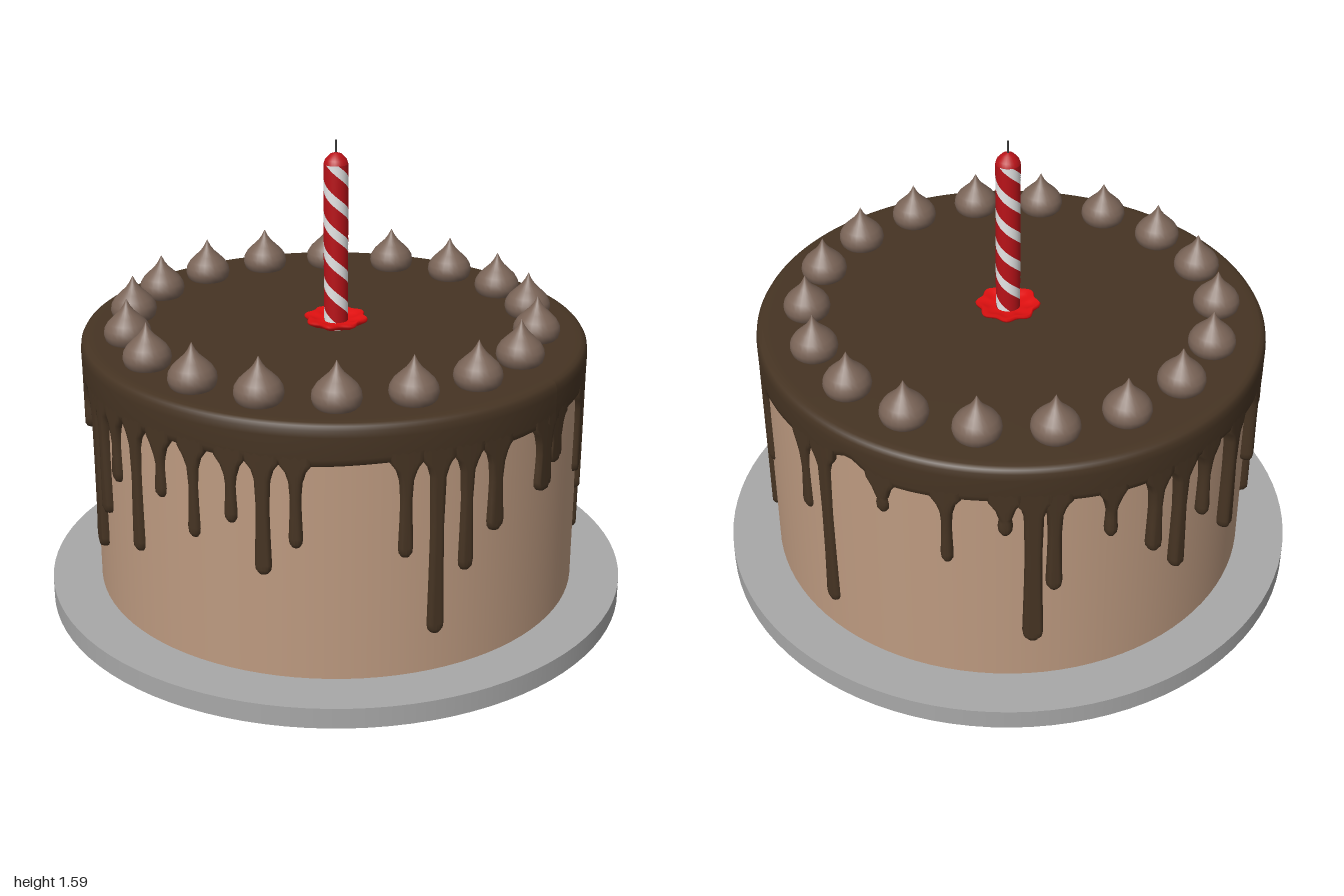
import * as THREE from 'three';

const mat = (name, color) => {
  const m = new THREE.MeshStandardMaterial({ color });
  m.name = name;
  return m;
};

const V = (list) => list.map(([x, y]) => new THREE.Vector2(x, y));

// Move every vertex by a rule, then refresh the normals
function deform(geo, rule) {
  const p = geo.attributes.position, v = new THREE.Vector3();
  for (let i = 0; i < p.count; i++) {
    rule(v.fromBufferAttribute(p, i));
    p.setXYZ(i, v.x, v.y, v.z);
  }
  geo.computeVertexNormals();
  return geo;
}

// Drips: angle in degrees from the front towards +x, tip height, neck half width
const DRIPS = [
  [-70, 0.42, 0.024], [-63, 0.52, 0.02], [-40, 0.48, 0.021], [-33, 0.2, 0.024], [-26, 0.4, 0.022],
  [-18.5, 0.51, 0.026], [-3, 0.575, 0.034], [1.5, 0.65, 0.034], [19, 0.51, 0.025], [26, 0.4, 0.022],
  [33.5, 0.2, 0.024], [41, 0.48, 0.021], [64, 0.52, 0.021], [71, 0.18, 0.025], [87, 0.68, 0.02],
  [101.5, 0.54, 0.018], [114, 0.67, 0.02], [120, 0.23, 0.028], [124.5, 0.44, 0.022], [137, 0.62, 0.018],
  [148, 0.5, 0.022], [155, 0.38, 0.022], [163, 0.53, 0.018], [174, 0.37, 0.022], [189, 0.5, 0.022],
  [198, 0.64, 0.02], [206, 0.17, 0.024], [224, 0.62, 0.022], [238, 0.27, 0.028], [242.5, 0.42, 0.024],
  [249, 0.57, 0.02], [257, 0.37, 0.022], [265, 0.6, 0.02], [274, 0.5, 0.02], [283, 0.58, 0.02],
];

// A hanging drip: flared at the top, thin neck, round bulb; wrapped around the cake
function dripGeometry([deg, tip, w]) {
  const b = w * 1.22;
  const span = 0.78 - tip;
  const pts = V([
    [0, tip], [b * 0.6, tip + 0.008], [b * 0.92, tip + 0.022], [b, tip + 0.04],
    [w * 1.08, tip + span * 0.35 + 0.02], [w, tip + span * 0.65],
    [w + 0.004, 0.745], [w + 0.014, 0.78], [w + 0.034, 0.808], [w + 0.04, 0.85],
  ]);
  const a = THREE.MathUtils.degToRad(deg);
  return deform(new THREE.LatheGeometry(pts, 20), (v) => {
    const t = a + v.x / 0.84;
    const r = 0.82 + THREE.MathUtils.clamp(v.z * 1.2, -0.03, 0.024);
    v.x = r * Math.sin(t);
    v.z = r * Math.cos(t);
  });
}

export function createModel() {
  const root = new THREE.Group();
  root.name = 'cake';
  const plateGrey = mat('plate grey', 0xa8a8a8);
  const sponge = mat('light chocolate', 0xbd9a80);
  const chocolate = mat('dark chocolate', 0x463423);
  const cream = mat('cocoa cream', 0x7a6457);
  const red = mat('candle red', 0xb81218);
  const petalRed = mat('flower red', 0xe01010);
  const white = mat('candle white', 0xe6e6e6);
  const wickGrey = mat('wick grey', 0x3a3a3a);

  const add = (name, geo, material, parent = root, x = 0, y = 0, z = 0) => {
    const m = new THREE.Mesh(geo, material);
    m.name = name;
    m.position.set(x, y, z);
    parent.add(m);
    return m;
  };

  // Plate and cake body
  add('plate', new THREE.CylinderGeometry(1, 1, 0.07, 96), plateGrey, root, 0, 0.035);
  add('cakeBody', new THREE.CylinderGeometry(0.83, 0.83, 0.85, 96), sponge, root, 0, 0.495);

  // Icing cap with a wavy lower edge
  const icing = new THREE.Group();
  icing.name = 'icing';
  icing.position.z = -0.01;
  icing.scale.z = 1.018;
  root.add(icing);
  const cap = new THREE.LatheGeometry(V([
    [0.79, 0.805], [0.832, 0.805], [0.841, 0.812], [0.844, 0.83], [0.845, 0.9],
    [0.842, 0.922], [0.835, 0.934], [0.822, 0.94], [0.8, 0.941], [0, 0.941],
  ]), 180);
  deform(cap, (v) => {
    if (v.y > 0.835) return;
    const t = Math.atan2(v.x, v.z);
    const arch = Math.exp(-(((t - 1.38) / 0.08) ** 2));
    v.y += 0.006 * Math.sin(7 * t) + 0.045 * arch;
  });
  add('icingCap', cap, chocolate, icing);
  DRIPS.forEach((d) => add('icingDrip', dripGeometry(d), chocolate, icing));

  // Ring of piped cream kisses
  const kiss = new THREE.LatheGeometry(V([
    [0, 0.93], [0.06, 0.935], [0.074, 0.95], [0.079, 0.97], [0.076, 0.99], [0.064, 1.01],
    [0.044, 1.03], [0.025, 1.048], [0.012, 1.066], [0.005, 1.08], [0, 1.09],
  ]), 24);
  for (let i = 0; i < 18; i++) {
    const a = THREE.MathUtils.degToRad(6.6 + i * 20);
    add('creamKiss', kiss, cream, root, -0.01 + 0.69 * Math.sin(a), 0, -0.01 + 0.69 * Math.cos(a));
  }

  // Flower-shaped candle holder with eight petals
  const flower = deform(new THREE.LatheGeometry(V([
    [0.03, 0.935], [0.05, 0.948], [0.08, 0.956], [0.1, 0.968], [0.103, 0.976],
    [0.098, 0.982], [0.075, 0.972], [0.05, 0.968], [0.03, 0.968],
  ]), 64), (v) => {
    const s = 1 + 0.07 * Math.cos(8 * Math.atan2(v.x, v.z) + Math.PI);
    v.x *= s;
    v.z *= s;
  });
  add('flowerHolder', flower, petalRed);

  // Twisted candle: two red and two white spiral strips
  const candle = new THREE.Group();
  candle.name = 'candle';
  root.add(candle);
  const strip = (name, material, r, start, length) => {
    const geo = new THREE.CylinderGeometry(r, r, 0.57, 10, 64, true, start, length);
    deform(geo, (v) => {
      const t = Math.atan2(v.x, v.z) - (v.y * Math.PI * 2) / 0.22;
      v.x = r * Math.sin(t);
      v.z = r * Math.cos(t);
    });
    add(name, geo, material, candle, 0, 1.225);
  };
  const whiteArc = Math.PI * 0.36;
  for (let k = 0; k < 2; k++) {
    strip('whiteSpiral', white, 0.041, k * Math.PI, whiteArc);
    strip('redSpiral', red, 0.041, k * Math.PI + whiteArc, Math.PI - whiteArc);
  }
  add('candleTip', new THREE.LatheGeometry(V([
    [0.041, 1.51], [0.036, 1.525], [0.02, 1.542], [0, 1.55],
  ]), 24), red, candle);
  add('wick', new THREE.CylinderGeometry(0.003, 0.004, 0.06, 8), wickGrey, candle, 0, 1.56);

  return root;
}
